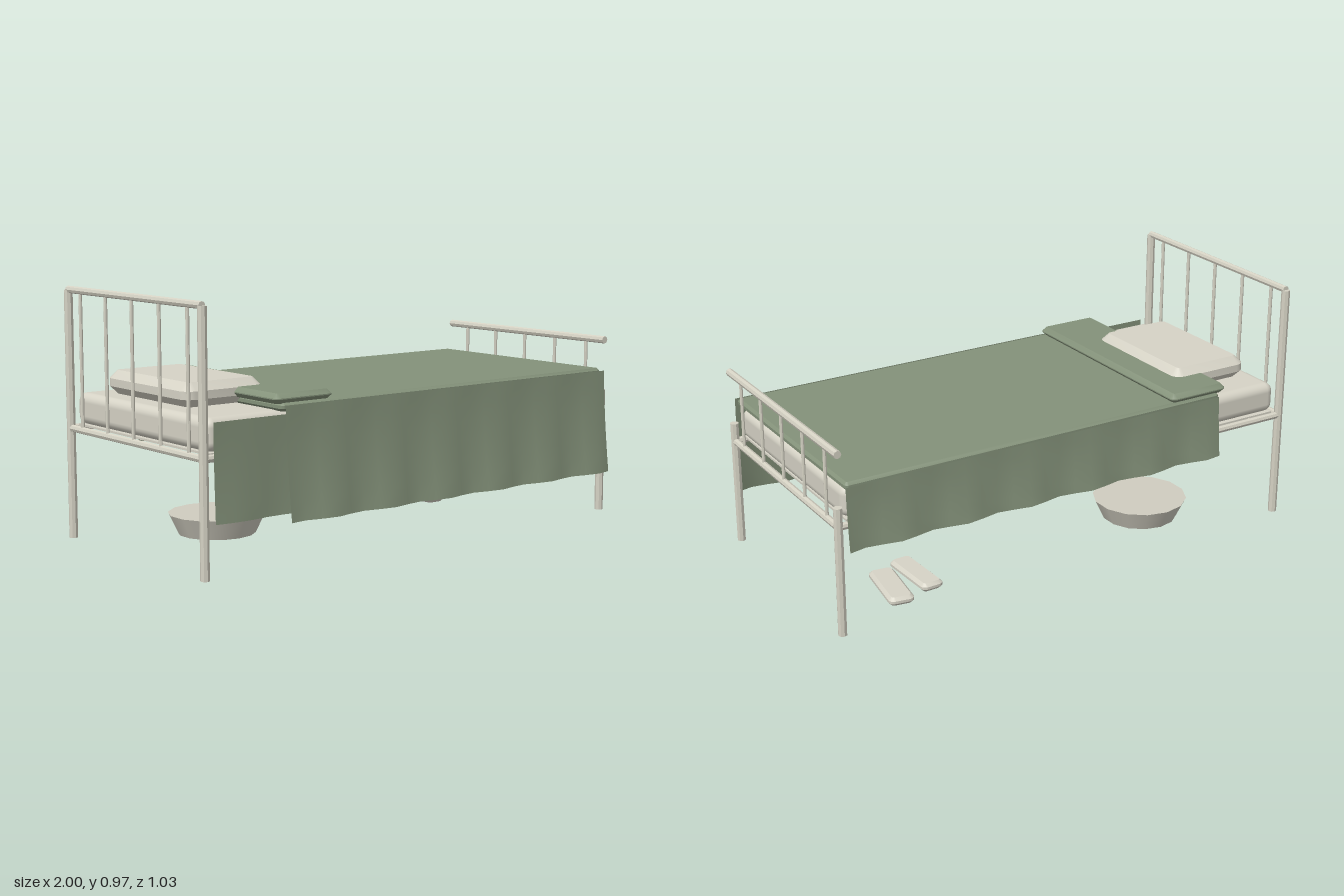
import * as THREE from 'three';
import { RoundedBoxGeometry } from 'three/addons/geometries/RoundedBoxGeometry.js';
import { toCreasedNormals } from 'three/addons/utils/BufferGeometryUtils.js';

const mat = (name, color, side = THREE.FrontSide) => {
  const m = new THREE.MeshStandardMaterial({ color, side });
  m.name = name;
  return m;
};

export function createModel() {
  const linen = mat('linen', 0xd6d3c6);
  const metal = mat('painted metal', 0xd4d1c3);
  const enamel = mat('enamel', 0xd0cdc0);
  const cloth = mat('green blanket', 0x84927a, THREE.DoubleSide);

  const model = new THREE.Group();
  model.name = 'bed';
  const frame = new THREE.Group();
  frame.name = 'frame';
  model.add(frame);

  const add = (name, geometry, material, parent = model) => {
    const mesh = new THREE.Mesh(geometry, material);
    mesh.name = name;
    parent.add(mesh);
    return mesh;
  };

  // Straight eight-sided tube between two points
  const rod = (name, a, b, r) => {
    const p = new THREE.Vector3(...a), q = new THREE.Vector3(...b);
    const g = toCreasedNormals(new THREE.CylinderGeometry(r, r, p.distanceTo(q), 8), 0.5);
    const mesh = add(name, g, metal, frame);
    mesh.position.copy(p).add(q).multiplyScalar(0.5);
    mesh.quaternion.setFromUnitVectors(new THREE.Vector3(0, 1, 0), q.sub(p).normalize());
  };

  // Soft slab with chamfered rim: w along x, h along y, d along z
  const slab = (name, w, h, d, bevel, corner, material, x, y, z) => {
    const a = w / 2 - bevel, b = d / 2 - bevel, c = corner;
    const s = new THREE.Shape();
    s.moveTo(-a + c, -b);
    s.lineTo(a - c, -b);
    s.quadraticCurveTo(a, -b, a, -b + c);
    s.lineTo(a, b - c);
    s.quadraticCurveTo(a, b, a - c, b);
    s.lineTo(-a + c, b);
    s.quadraticCurveTo(-a, b, -a, b - c);
    s.lineTo(-a, -b + c);
    s.quadraticCurveTo(-a, -b, -a + c, -b);
    let g = new THREE.ExtrudeGeometry(s, {
      depth: h - 2 * bevel, bevelEnabled: true, bevelSize: bevel,
      bevelThickness: bevel, bevelSegments: 1, curveSegments: 4,
    });
    g.translate(0, 0, bevel - h / 2);
    g.rotateX(-Math.PI / 2);
    g = toCreasedNormals(g, 0.6);
    const mesh = add(name, g, material);
    mesh.position.set(x, y, z);
    return mesh;
  };

  // Posts, end rails and spindles
  const zf = 0.428, zb = -0.465, xe = 0.982;
  for (const z of [zf, zb]) {
    rod('headPost', [-xe, 0, z], [-xe, 0.95, z], 0.017);
    rod('footPost', [xe, 0, z], [xe, 0.5, z], 0.017);
    rod('sideRail', [-xe, 0.425, z], [xe, 0.425, z], 0.014);
  }
  rod('headTopRail', [-xe, 0.952, zf], [-xe, 0.952, zb], 0.014);
  rod('footTopRail', [xe, 0.705, zf + 0.016], [xe, 0.705, zb - 0.016], 0.015);
  for (const s of [-1, 1]) {
    rod('lowerEndRail', [s * xe, 0.425, zf], [s * xe, 0.425, zb], 0.014);
    for (let i = 0; i < 5; i++) {
      const z = 0.339 - i * 0.179;
      rod('spindle', [s * xe, 0.43, z], [s * xe, s < 0 ? 0.95 : 0.705, z], 0.007);
    }
  }

  // Slats and base
  for (let i = 0; i < 7; i++) {
    const x = -0.84 + i * 0.28;
    rod('slat', [x, 0.425, zf], [x, 0.425, zb], 0.011);
  }
  const zc = -0.018;
  add('basePanel', new THREE.BoxGeometry(1.9, 0.008, 0.87), linen).position.set(-0.005, 0.437, zc);

  // Bedding
  add('mattress', new RoundedBoxGeometry(1.92, 0.121, 0.88, 3, 0.035), linen).position.set(-0.003, 0.5015, zc);
  slab('pillow', 0.345, 0.09, 0.545, 0.03, 0.015, linen, -0.727, 0.609, -0.072);
  slab('blanketTop', 1.62, 0.032, 0.93, 0.01, 0.006, cloth, 0.148, 0.576, zc);
  slab('blanketFold', 0.258, 0.038, 0.94, 0.017, 0.008, cloth, -0.563, 0.607, zc);

  // Hanging cloth that flares and ripples towards its hem
  const drape = (name, x0, x1, top, bottom, z, flare, ripple, phase) => {
    const w = x1 - x0, h = top - bottom;
    const g = new THREE.PlaneGeometry(w, h, Math.round(w / 0.0675), 6);
    const p = g.attributes.position;
    for (let i = 0; i < p.count; i++) {
      const t = THREE.MathUtils.clamp(0.5 - p.getY(i) / h, 0, 1);
      const x = p.getX(i) + (x0 + x1) / 2;
      const wave = Math.cos((x - phase) * Math.PI * 2 / 0.27) * ripple * t;
      p.setXYZ(i, x, top - t * h, z + Math.sign(z) * (flare * t ** 1.5 + wave));
    }
    g.computeVertexNormals();
    add(name, g, cloth);
  };
  drape('frontDrape', -0.66, 0.958, 0.583, 0.172, 0.466, 0.037, 0.012, -0.47);
  drape('frontUnderDrape', -0.965, -0.6, 0.555, 0.202, 0.464, 0.014, 0.006, -0.85);
  drape('backDrape', -0.66, 0.958, 0.575, 0.333, -0.484, 0.018, 0.012, -0.6);

  // Basin
  add('basin', new THREE.CylinderGeometry(0.19, 0.152, 0.08, 14), enamel).position.set(-0.5, 0.04, -0.2);

  // Slippers
  slab('rightSlipper', 0.092, 0.034, 0.26, 0.012, 0.012, linen, 0.549, 0.018, -0.22).rotation.y = 0.04;
  slab('leftSlipper', 0.1, 0.034, 0.26, 0.012, 0.012, linen, 0.678, 0.018, -0.262).rotation.y = -0.15;

  return model;
}
